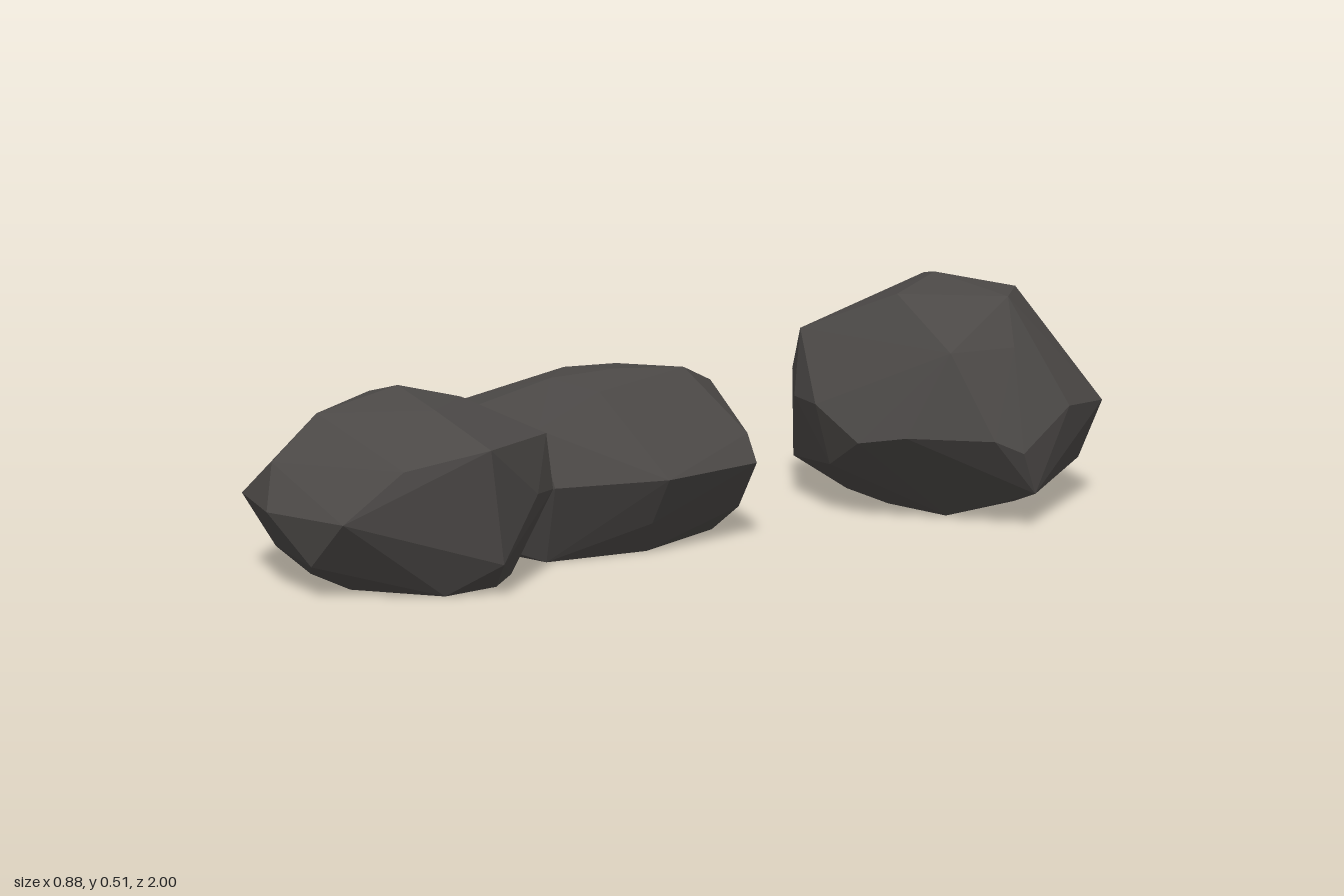
import * as THREE from 'three';
import { ConvexGeometry } from 'three/addons/geometries/ConvexGeometry.js';

const stone = new THREE.MeshStandardMaterial({ color: 0x4b4846 });
stone.name = 'dark stone';

// A faceted boulder: the hull around a few corner points [x, y, z]
function boulder(name, ...rings) {
  const points = rings.flat().map((p) => new THREE.Vector3(...p));
  const mesh = new THREE.Mesh(new ConvexGeometry(points), stone);
  mesh.name = name;
  return mesh;
}

export function createModel() {
  const group = new THREE.Group();
  group.name = 'boulders';

  // Each boulder: base, lower ring, widest ring, shoulders and crown
  group.add(boulder('largeBackBoulder',
    [[0.22, 0, -0.52], [0.2, 0, -0.74], [0.02, 0, -0.82], [-0.12, 0, -0.77], [-0.16, 0, -0.65], [-0.13, 0, -0.53], [0.05, 0, -0.5]],
    [[0.425, 0.075, -0.59], [0.05, 0.11, -0.33], [0.06, 0.14, -0.97], [-0.27, 0.06, -0.485], [-0.25, 0.1, -0.76], [0.28, 0.1, -0.86]],
    [[0.08, 0.235, -1], [0.31, 0.23, -0.9], [0.4, 0.25, -0.71], [0.44, 0.17, -0.54], [0.42, 0.2, -0.475], [0.28, 0.2, -0.35], [0.18, 0.18, -0.3]],
    [[0.06, 0.25, -0.28], [-0.05, 0.25, -0.31], [-0.27, 0.265, -0.48], [-0.28, 0.25, -0.6], [-0.27, 0.28, -0.79], [-0.2, 0.25, -0.85], [-0.05, 0.24, -0.95]],
    [[0.34, 0.38, -0.6], [-0.245, 0.375, -0.62], [-0.2, 0.39, -0.81], [0.15, 0.35, -0.9], [-0.05, 0.4, -0.325], [0.32, 0.38, -0.435]],
    [[0.07, 0.515, -0.61], [0.275, 0.48, -0.64], [-0.1, 0.487, -0.73], [0.14, 0.487, -0.44], [0.16, 0.48, -0.77], [0.1, 0.43, -0.845]]));

  group.add(boulder('middleBoulder',
    [[-0.29, 0, 0.1], [-0.27, 0, 0.35], [-0.14, 0, 0.47], [0.06, 0, 0.42], [0.1, 0, 0.2], [0.02, 0, -0.03], [-0.1, 0, -0.08]],
    [[-0.37, 0.07, 0.2], [-0.1, 0.03, 0.5], [0.15, 0.07, 0.22]],
    [[0.21, 0.17, 0.22], [0.14, 0.17, 0.45], [-0.2, 0.17, 0.53], [-0.4, 0.16, 0.42], [-0.445, 0.16, 0.18], [-0.36, 0.17, -0.05]],
    // flat split face at the back
    [[-0.265, 0.17, -0.125], [-0.22, 0.27, -0.115], [-0.05, 0.31, -0.078], [0.13, 0.225, -0.04], [0.175, 0.17, -0.03], [0.09, 0.06, -0.048], [-0.17, 0.05, -0.105]],
    [[-0.37, 0.265, 0.15], [-0.15, 0.29, 0.48], [0.08, 0.28, 0.45], [-0.3, 0.28, 0.4], [-0.25, 0.33, 0.03]],
    [[0, 0.355, 0.03], [-0.02, 0.365, 0.19], [0.05, 0.335, 0.28], [-0.2, 0.345, 0.2], [-0.1, 0.345, 0.3]]));

  group.add(boulder('smallFrontBoulder',
    [[-0.2, 0, 0.6], [-0.21, 0, 0.78], [-0.14, 0, 0.85], [0.02, 0, 0.85], [0.176, 0, 0.73], [0.17, 0, 0.61], [0.1, 0, 0.53], [-0.1, 0, 0.51]],
    [[-0.27, 0.07, 0.75], [-0.15, 0.065, 0.92], [0.05, 0.065, 0.95], [0.255, 0.065, 0.645]],
    [[-0.03, 0.165, 1], [-0.22, 0.165, 0.955], [0.16, 0.165, 0.94], [-0.3, 0.165, 0.87], [-0.29, 0.17, 0.59], [-0.11, 0.17, 0.46], [0.14, 0.17, 0.455], [0.2, 0.18, 0.53]],
    [[-0.31, 0.225, 0.72], [-0.08, 0.25, 0.96], [0.2, 0.26, 0.83], [0.27, 0.295, 0.68], [-0.29, 0.27, 0.64], [0.14, 0.285, 0.47], [-0.1, 0.285, 0.475]],
    [[-0.04, 0.38, 0.7], [-0.08, 0.335, 0.86], [0.1, 0.35, 0.7], [-0.19, 0.345, 0.68], [0, 0.35, 0.58]]));

  return group;
}
